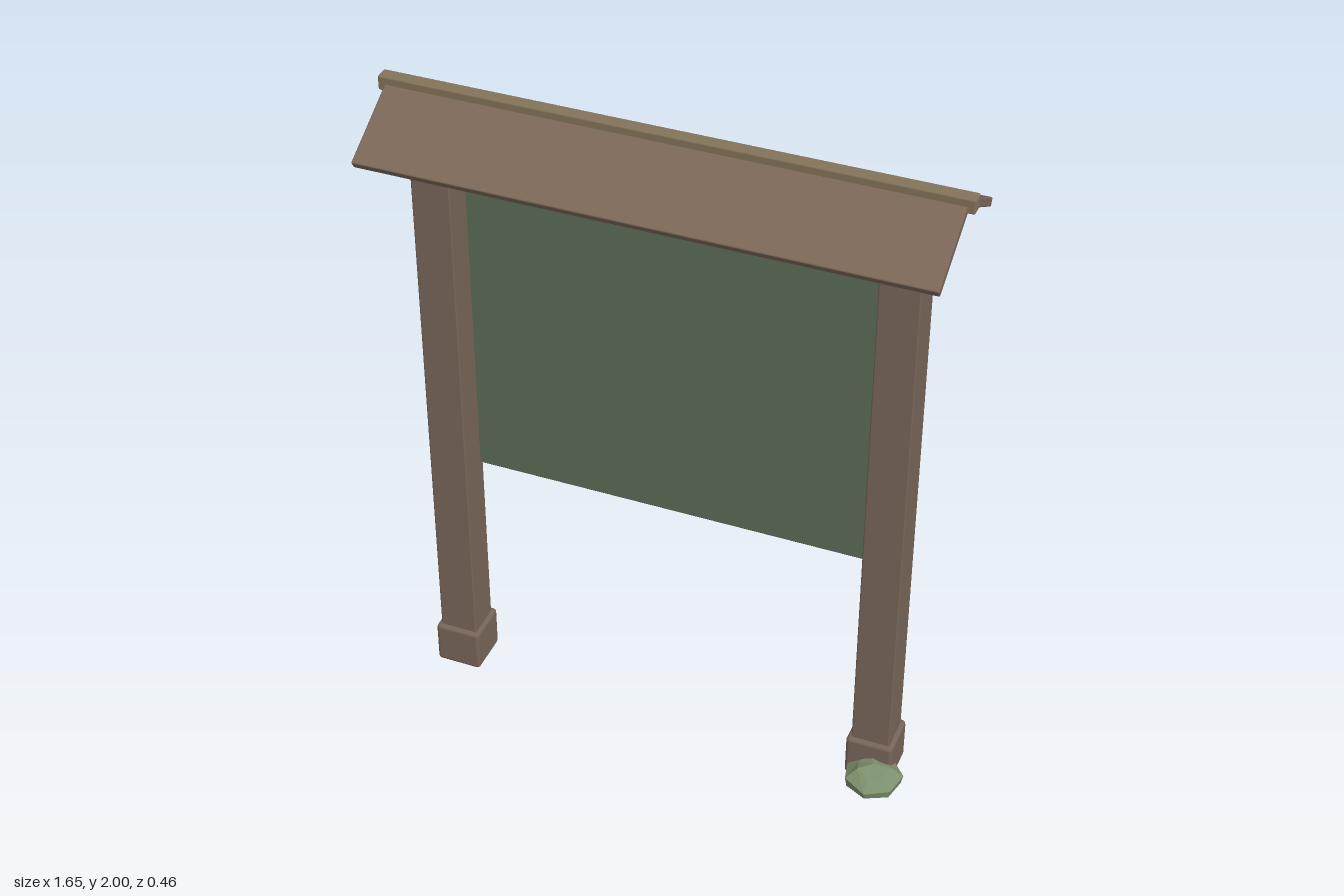
import * as THREE from 'three';
import { RoundedBoxGeometry } from 'three/addons/geometries/RoundedBoxGeometry.js';

const mat = (name, color, flatShading = false) => {
  const m = new THREE.MeshStandardMaterial({ color, flatShading });
  m.name = name;
  return m;
};

export function createModel() {
  const wood = mat('post brown', 0x79665a);
  const roofBrown = mat('roof brown', 0x7b6758);
  const ridgeTan = mat('ridge tan', 0x83735a);
  const boardGreen = mat('board green', 0x5c6b56);
  const panelTan = mat('panel tan', 0x8a7356);
  const paper = mat('pale grey', 0x979389);
  const treeGreen = mat('tree green', 0x65764f);
  const stone = mat('mountain grey', 0x77726f);
  const water = mat('river blue', 0x6c8591);
  const moss = mat('moss green', 0x7d906c, true);

  const model = new THREE.Group();
  model.name = 'noticeBoard';

  const add = (name, geometry, material, parent = model) => {
    const mesh = new THREE.Mesh(geometry, material);
    mesh.name = name;
    parent.add(mesh);
    return mesh;
  };

  // Softened box given by its lower and upper limits
  const box = (name, lo, hi, material, radius = 0.005) => {
    const size = hi.map((h, i) => h - lo[i]);
    const mesh = add(name, new RoundedBoxGeometry(...size, 1, radius), material);
    mesh.position.set(...hi.map((h, i) => (h + lo[i]) / 2));
    return mesh;
  };

  // Flat cut-out on the back of the board, from zBack to zFront
  const relief = (name, points, zBack, zFront, material) => {
    const shape = new THREE.Shape(points.map(([x, y]) => new THREE.Vector2(x, y)));
    const geo = new THREE.ExtrudeGeometry(shape, { depth: zFront - zBack, bevelEnabled: false });
    geo.translate(0, 0, zBack);
    return add(name, geo, material);
  };

  // Posts and their footings
  for (const [side, x] of [['left', 0.661], ['right', -0.664]]) {
    box(side + 'Post', [x - 0.058, 0.1, -0.037], [x + 0.058, 1.783, 0.076], wood);
    box(side + 'Footing', [x - 0.071, 0, -0.052], [x + 0.071, 0.137, 0.091], wood, 0.012);
  }

  // Gable roof with a ridge cap
  for (const s of [1, -1]) {
    const slope = add(s > 0 ? 'frontRoofSlope' : 'backRoofSlope',
      new RoundedBoxGeometry(1.615, 0.025, 0.262, 1, 0.004), roofBrown);
    slope.position.set(-0.003, 1.91, s * 0.114 - 0.003);
    slope.rotation.x = s * 0.518;
  }
  box('ridgeCap', [-0.83, 1.957, -0.024], [0.825, 2, 0.018], ridgeTan);

  // Board and display panel
  box('board', [-0.672, 0.73, -0.046], [0.67, 1.783, -0.02], boardGreen, 0.003);
  const rect = (x0, y0, x1, y1) => [[x0, y0], [x1, y0], [x1, y1], [x0, y1]];
  relief('displayPanel', rect(-0.62, 0.793, 0.617, 1.722), -0.054, -0.044, panelTan);
  relief('headerSheet', rect(-0.604, 1.36, 0.608, 1.66), -0.058, -0.053, paper);

  // Tree cut-out with three trunks
  relief('trees', [
    [0.45, 0.908], [0.39, 1.145], [0.336, 0.97], [0.275, 1.225],
    [0.216, 0.97], [0.168, 1.165], [0.1, 0.905],
  ], -0.066, -0.053, treeGreen);
  for (const x of [0.385, 0.275, 0.163]) {
    relief('treeTrunk', rect(x - 0.012, 0.858, x + 0.012, 0.91), -0.064, -0.053, wood);
  }

  // Mountain with a snow patch
  relief('mountain', [
    [0.085, 0.876], [-0.07, 1.3], [-0.222, 1.165], [-0.3, 1.24], [-0.51, 0.876],
  ], -0.064, -0.053, stone);
  relief('snowPatch', [
    [-0.185, 1.205], [-0.222, 1.168], [-0.293, 1.236],
    [-0.262, 1.135], [-0.235, 1.15], [-0.208, 1.122],
  ], -0.069, -0.06, paper);

  // Wavy river ribbon
  const upper = [], lower = [];
  for (let i = 0; i <= 32; i++) {
    const x = -0.57 + (1.11 * i) / 32;
    const y = 0.828 + 0.02 * Math.cos((2 * Math.PI * (x - 0.435)) / 0.278);
    upper.push([x, y + 0.016]);
    lower.push([x, y - 0.016]);
  }
  relief('river', [...lower, ...upper.reverse()], -0.068, -0.053, water);

  // Low mossy clump by the left footing
  const profile = [[0, 0.024], [0.082, 0.024], [0.088, 0.05], [0.05, 0.078], [0, 0.09]]
    .map(([r, y]) => new THREE.Vector2(r, y));
  const clump = new THREE.LatheGeometry(profile, 7);
  const p = clump.attributes.position;
  for (let i = 0; i < p.count; i++) {
    const a = Math.atan2(p.getZ(i), p.getX(i));
    if (p.getY(i) > 0.03 && p.getY(i) < 0.085) {
      p.setY(i, p.getY(i) + 0.009 * Math.sin(3 * a + 1));
    }
  }
  clump.computeVertexNormals();
  add('mossClump', clump, moss).position.set(0.687, 0, 0.113);

  return model;
}
